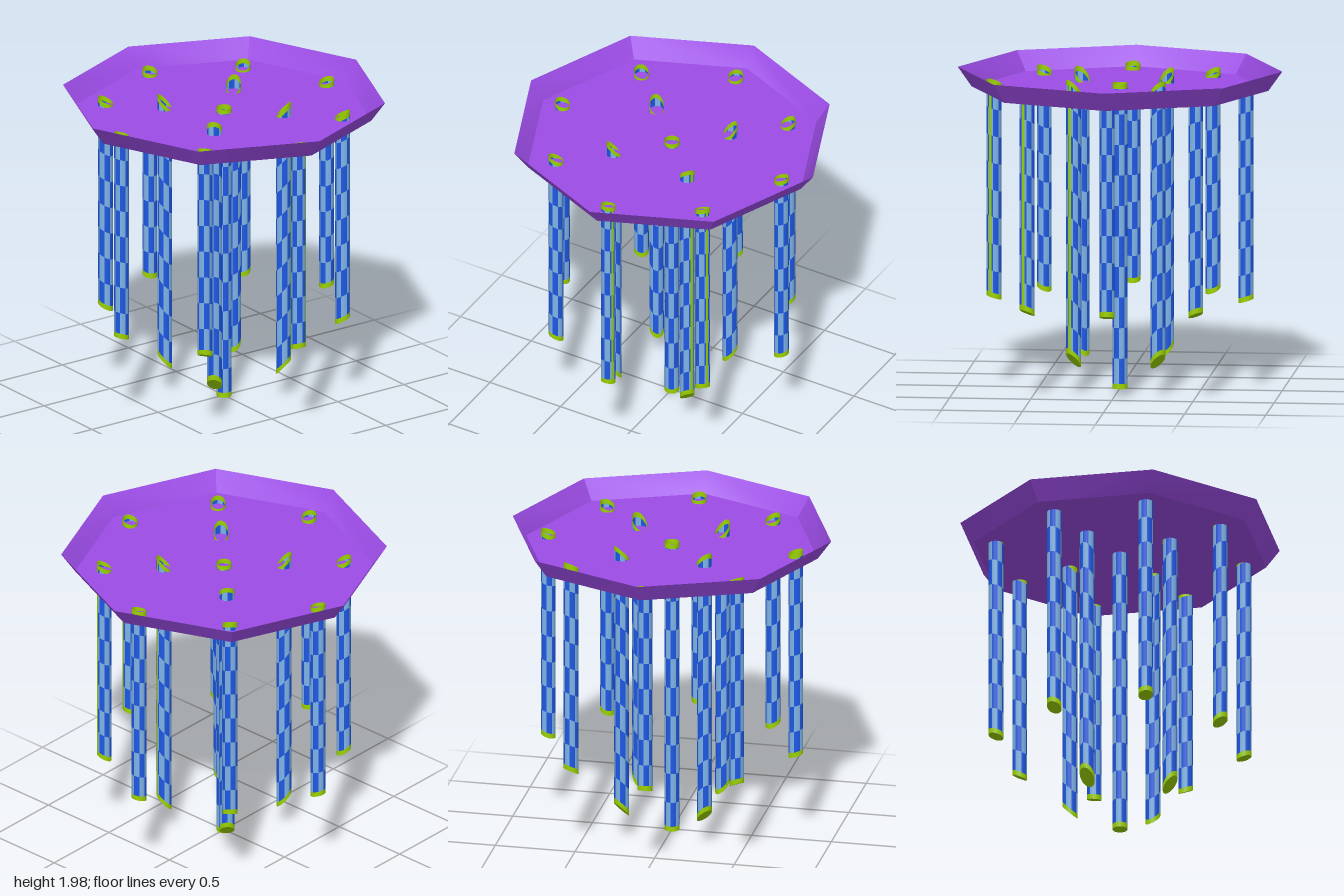
import * as THREE from 'three';
import { mergeGeometries } from 'three/addons/utils/BufferGeometryUtils.js';

const material = (name, color) =>
  new THREE.MeshStandardMaterial({ name, color, side: THREE.DoubleSide });

const RADIUS = 0.0455;
const BAND = 0.032;
const COLUMNS = 8;

export function createModel() {
  const model = new THREE.Group();
  const purple = material('purple', 0x9c4ce6);
  const blue = material('blue', 0x1e58e4);
  const lightBlue = material('light blue', 0x80b6ea);
  const green = material('green', 0x9cd200);

  const add = (parent, name, geometry, mat) => {
    const mesh = new THREE.Mesh(geometry, mat);
    mesh.name = name;
    parent.add(mesh);
    return mesh;
  };

  // Octagonal tray: flared rim in four quarters, creased where the quarters meet
  const quarters = [];
  for (let k = 0; k < 4; k++) {
    const start = Math.PI / 4 + (k * Math.PI) / 2;
    const quarter = new THREE.CylinderGeometry(1, 0.915, 0.12, 2, 1, true, start, Math.PI / 2);
    quarter.computeVertexNormals();
    quarters.push(quarter);
  }
  const rim = add(model, 'trayRim', mergeGeometries(quarters), purple);
  rim.position.y = 1.925;
  const floor = add(model, 'trayFloor', new THREE.CircleGeometry(0.915, 8), purple);
  floor.rotation.x = -Math.PI / 2;
  floor.position.y = 1.865;

  // Open wall patch between two heights, covering an arc of the tube
  const patch = (y0, y1, start, arc, segments, radius = RADIUS) => {
    const g = new THREE.CylinderGeometry(radius, radius, y1 - y0, segments, 1, true, start, arc);
    return g.translate(0, (y0 + y1) / 2, 0);
  };

  // Checkered tube, its rings tilted so they rise away from the centre
  const addTube = (name, x, z, bottom, top, slope, rows, seam) => {
    const tube = new THREE.Group();
    tube.name = name;
    tube.position.set(x, 0, z);
    model.add(tube);
    const dist = Math.hypot(x, z) || 1;
    const tilt = (g) => {
      const p = g.attributes.position;
      for (let i = 0; i < p.count; i++) {
        const outward = (p.getX(i) * x + p.getZ(i) * z) / dist;
        p.setY(i, p.getY(i) + slope * outward);
      }
      return g;
    };

    const checks = [[], []];
    const rowHeight = (top - bottom) / rows;
    const arc = (Math.PI * 2) / COLUMNS;
    for (let r = 0; r < rows; r++) {
      const y0 = Math.max(bottom + r * rowHeight, bottom + BAND);
      const y1 = Math.min(bottom + (r + 1) * rowHeight, top - BAND);
      for (let c = 0; c < COLUMNS; c++) {
        checks[(r + c) % 2].push(patch(y0, y1, c * arc, arc, 3));
      }
    }
    add(tube, 'darkChecks', tilt(mergeGeometries(checks[0])), blue);
    add(tube, 'lightChecks', tilt(mergeGeometries(checks[1])), lightBlue);
    const bands = [
      patch(bottom, bottom + BAND, 0, Math.PI * 2, 24),
      patch(top - BAND, top, 0, Math.PI * 2, 24),
    ];
    add(tube, 'endBands', tilt(mergeGeometries(bands)), green);
    const cap = tilt(new THREE.CircleGeometry(RADIUS, 24).rotateX(Math.PI / 2).translate(0, bottom, 0));
    cap.computeVertexNormals();
    add(tube, 'bottomCap', cap, green);
    if (seam) add(tube, 'seam', tilt(patch(bottom, top, 2.55, 0.35, 3, RADIUS + 0.001)), green);
  };

  // Centre tube, two diagonal rings of four, and four tubes on the axes
  addTube('centreTube', 0, 0, 0.006, 1.9, 0, 10, false);
  for (const sx of [-1, 1]) {
    for (const sz of [-1, 1]) {
      const seam = sx > 0 && sz < 0;
      addTube('innerTube', sx * 0.26, sz * 0.26, 0.215, 1.91, 1.05, 10, seam);
      addTube('outerTube', sx * 0.52, sz * 0.52, 0.545, 1.9, 0.5, 8, seam);
    }
    addTube('sideTube', sx * 0.777, 0, 0.56, 1.9, 0.3, 8, sx > 0);
    addTube('endTube', 0, sx * 0.777, 0.56, 1.9, 0.3, 8, false);
  }
  return model;
}
